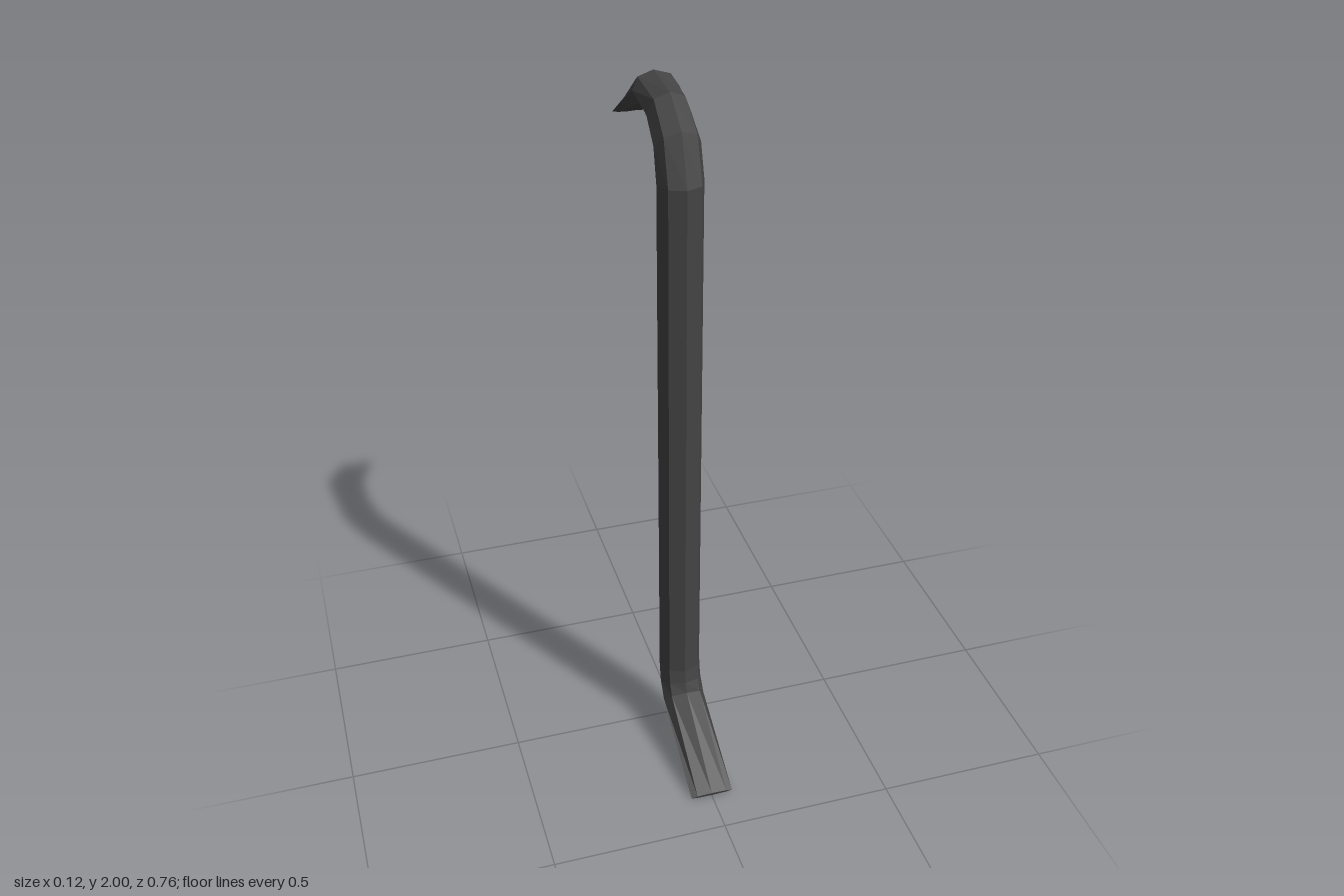
import * as THREE from 'three';

// Each station along the bar: outer [z, y], inner [z, y], half width.
const STATIONS = [
  [[0.378, 0.01], [0.376, 0], 0.062],          // chisel edge
  [[0.124, 0.18], [0.058, 0.107], 0.062],
  [[0.113, 0.21], [0.003, 0.17], 0.062],
  [[0.106, 0.25], [-0.012, 0.25], 0.062],      // shaft bottom
  [[0.106, 1.793], [-0.012, 1.793], 0.062],    // shaft top
  [[0.058, 1.926], [-0.018, 1.84], 0.061],
  [[-0.042, 1.993], [-0.072, 1.878], 0.057],
  [[-0.19, 2.0], [-0.148, 1.918], 0.062],      // top of the hook
  [[-0.27, 1.928], [-0.265, 1.872], 0.062],
  [[-0.342, 1.865], [-0.342, 1.84], 0.062],    // root of the claw notch
];
const CLAW_TIP = [[-0.378, 1.833], [-0.378, 1.825], 0.062];
const NOTCH = 0.022;

// Arc of an eight-sided section, from corner `first`, `count` corners long.
function section([outer, inner, width], first = 0, count = 8) {
  return Array.from({ length: count }, (_, i) => {
    const a = ((first + i) * Math.PI) / 4;
    const t = (1 + Math.sin(a)) / 2;
    return [
      width * Math.cos(a),
      THREE.MathUtils.lerp(inner[1], outer[1], t),
      THREE.MathUtils.lerp(inner[0], outer[0], t),
    ];
  });
}

// Skin closed rings of corners, with optional end caps.
function loft(rings, capStart, capEnd) {
  const n = rings[0].length;
  const pos = [];
  const tri = (...corners) => corners.forEach((c) => pos.push(...c));
  for (let i = 0; i < rings.length - 1; i++) {
    for (let j = 0; j < n; j++) {
      const k = (j + 1) % n;
      const [a, b, c, d] = [rings[i][j], rings[i + 1][j], rings[i + 1][k], rings[i][k]];
      tri(a, b, c);
      tri(a, c, d);
    }
  }
  const last = rings[rings.length - 1];
  for (let j = 1; j < n - 1; j++) {
    if (capStart) tri(rings[0][0], rings[0][j], rings[0][j + 1]);
    if (capEnd) tri(last[0], last[j + 1], last[j]);
  }
  const geometry = new THREE.BufferGeometry();
  geometry.setAttribute('position', new THREE.Float32BufferAttribute(pos, 3));
  geometry.computeVertexNormals();
  return geometry;
}

export function createModel() {
  const group = new THREE.Group();
  group.name = 'crowbar';
  const material = new THREE.MeshStandardMaterial({ color: 0x444444, flatShading: true });
  const add = (name, geometry) => {
    const mesh = new THREE.Mesh(geometry, material);
    mesh.name = name;
    group.add(mesh);
  };

  // Chisel foot, straight shaft and hook
  const rings = STATIONS.map((s) => section(s));
  add('chisel', loft(rings.slice(0, 3), true, false));
  add('shaft', loft(rings.slice(2, 5), false, false));
  add('hook', loft(rings.slice(4), false, false));

  // Two claw prongs either side of the V notch
  for (const [name, side, first] of [['leftProng', 1, -2], ['rightProng', -1, 2]]) {
    const root = section(STATIONS[STATIONS.length - 1], first, 5);
    const tip = section(CLAW_TIP, first, 5);
    tip[0][0] = tip[4][0] = side * NOTCH;
    add(name, loft([root, tip], false, true));
  }
  return group;
}
